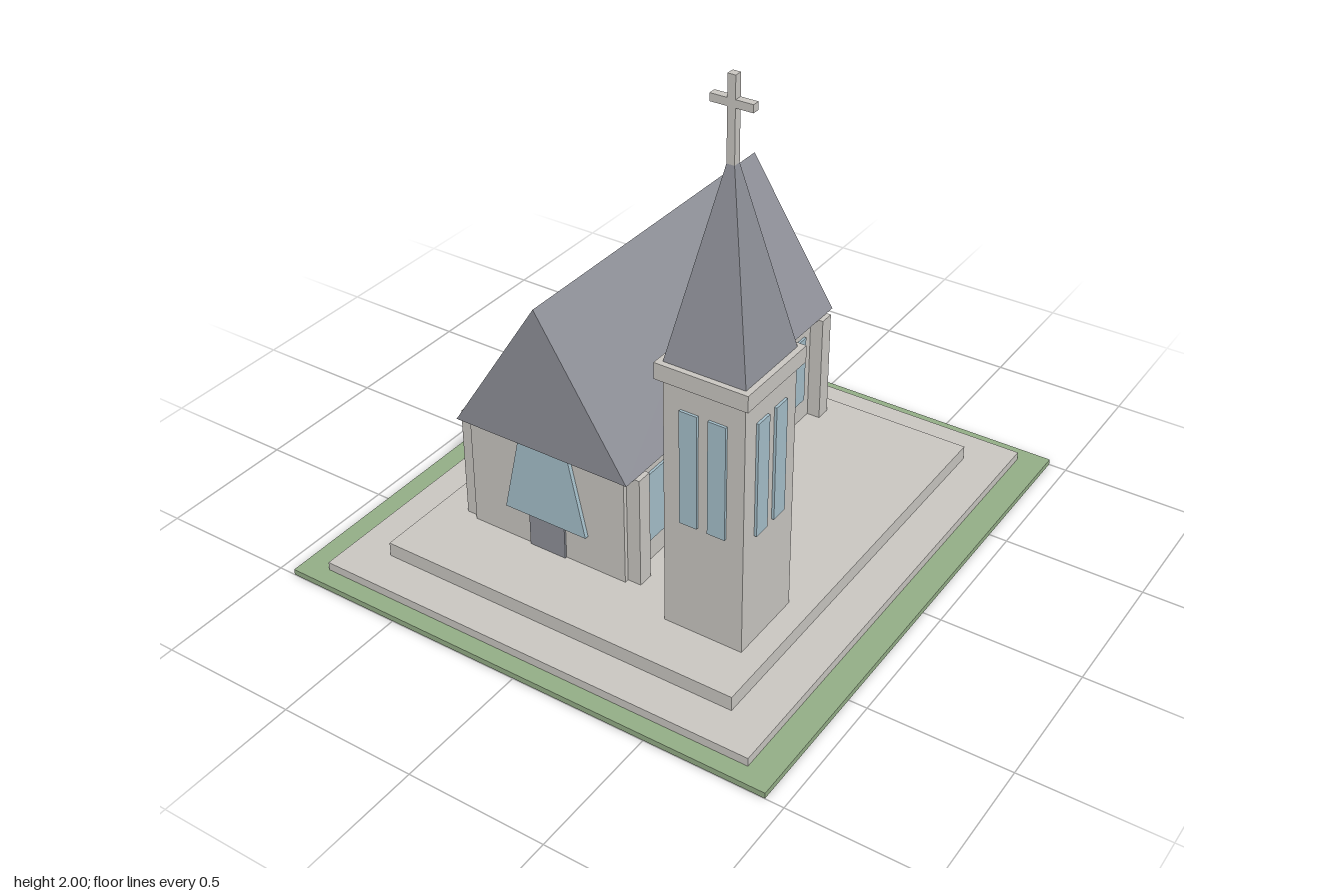
import * as THREE from 'three';

export function createModel() {
  const group = new THREE.Group();
  const material = (name, color) => {
    const m = new THREE.MeshStandardMaterial({ color });
    m.name = name;
    return m;
  };
  const stone = material('stone', 0xc9c6c1);
  const slate = material('slate', 0x8e9098);
  const glass = material('glass', 0xa5bfca);
  const grass = material('grass', 0x93ad86);

  const add = (name, geometry, mat) => {
    const mesh = new THREE.Mesh(geometry, mat);
    mesh.name = name;
    group.add(mesh);
    return mesh;
  };
  // Box given by its lower and upper limits on each axis
  const box = (name, mat, x0, x1, y0, y1, z0, z1) => {
    const mesh = add(name, new THREE.BoxGeometry(x1 - x0, y1 - y0, z1 - z0), mat);
    mesh.position.set((x0 + x1) / 2, (y0 + y1) / 2, (z0 + z1) / 2);
    return mesh;
  };
  // Flat outline in x and y, extruded from z0 to z1
  const prism = (name, mat, points, z0, z1) => {
    const shape = new THREE.Shape(points.map(([x, y]) => new THREE.Vector2(x, y)));
    const geometry = new THREE.ExtrudeGeometry(shape, { depth: z1 - z0, bevelEnabled: false });
    add(name, geometry, mat).position.z = z0;
  };

  // Ground and steps
  box('lawn', grass, -0.935, 0.935, 0.001, 0.022, -1, 1);
  box('lowerStep', stone, -0.835, 0.835, 0, 0.053, -0.935, 0.935);
  box('upperStep', stone, -0.685, 0.685, 0.053, 0.106, -0.79, 0.79);

  // Nave
  const cx = -0.2125, floor = 0.106, eaves = 0.525;
  box('naveWalls', stone, cx - 0.3125, cx + 0.3125, floor, eaves, -0.73, 0.52);
  prism('naveRoof', slate,
    [[cx - 0.345, eaves], [cx + 0.345, eaves], [cx, 1.065]], -0.76, 0.55);

  // Buttresses with windows between them on both long sides
  for (const side of [-1, 1]) {
    for (let i = 0; i < 5; i++) {
      const z = 0.475 - i * 0.291;
      const buttress = box('buttress', stone, -0.03, 0.03, floor, eaves, z - 0.029, z + 0.029);
      buttress.position.x = cx + side * 0.333;
      if (i === 4) continue;
      const wz = z - 0.1455;
      const pane = box('sideWindow', glass, -0.009, 0.009, 0.195, 0.465, wz - 0.073, wz + 0.073);
      pane.position.x = cx + side * 0.3125;
    }
  }

  // Entrance front
  box('door', slate, cx - 0.0725, cx + 0.0725, floor, 0.235, 0.51, 0.528);
  prism('frontWindow', glass, [[cx - 0.165, 0.232], [cx + 0.165, 0.232],
    [cx + 0.1, eaves], [cx - 0.1, eaves]], 0.51, 0.535);

  // Bell tower
  const t = 0.456;
  box('towerShaft', stone, t - 0.145, t + 0.145, floor, 1.03, t - 0.145, t + 0.145);
  box('towerCornice', stone, t - 0.165, t + 0.165, 1.03, 1.088, t - 0.165, t + 0.165);
  for (let i = 0; i < 4; i++) {
    const face = new THREE.Group();
    face.name = 'towerWindows';
    face.position.set(t, 0, t);
    face.rotation.y = i * Math.PI / 2;
    for (const s of [-1, 1]) {
      const pane = box('towerWindow', glass, -0.032, 0.032, 0.525, 0.94, 0.137, 0.154);
      pane.position.x = s * 0.051;
      face.add(pane);
    }
    group.add(face);
  }

  // Four-sided spire
  const spire = new THREE.ConeGeometry(0.145 * Math.SQRT2, 0.7, 4, 1);
  spire.rotateY(Math.PI / 4);
  const flatSpire = spire.toNonIndexed();
  flatSpire.computeVertexNormals();
  add('spire', flatSpire, slate).position.set(t, 1.088 + 0.35, t);

  // Cross
  box('crossPost', stone, t - 0.0135, t + 0.0135, 1.72, 2, t - 0.0135, t + 0.0135);
  box('crossArm', stone, t - 0.072, t + 0.072, 1.9, 1.926, t - 0.013, t + 0.013);

  return group;
}
